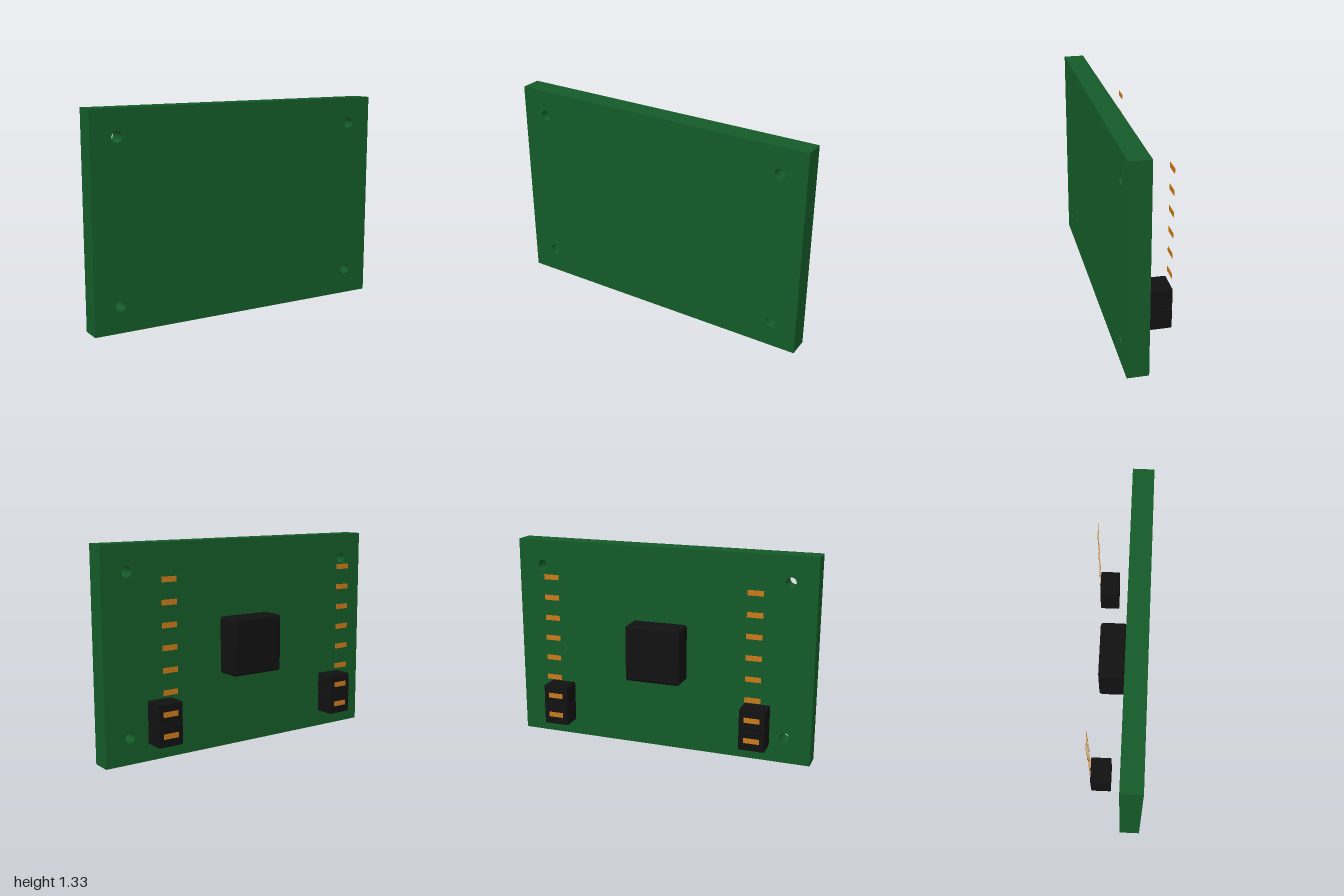
import * as THREE from 'three';
import { RoundedBoxGeometry } from 'three/addons/geometries/RoundedBoxGeometry.js';

const paint = (color) => new THREE.MeshStandardMaterial({ color });

function addMesh(parent, name, geometry, material, x, y, z) {
  const mesh = new THREE.Mesh(geometry, material);
  mesh.name = name;
  mesh.position.set(x, y, z);
  parent.add(mesh);
  return mesh;
}

export function createModel() {
  const group = new THREE.Group();
  group.name = 'circuitBoard';
  const green = paint(0x145a28);
  const black = paint(0x111111);
  const copper = paint(0xc87818);

  // Board with four mounting holes
  const width = 2, height = 1.333, thickness = 0.132;
  const outline = new THREE.Shape([
    new THREE.Vector2(-width / 2, 0),
    new THREE.Vector2(width / 2, 0),
    new THREE.Vector2(width / 2, height),
    new THREE.Vector2(-width / 2, height),
  ]);
  for (const x of [-0.833, 0.833]) {
    for (const y of [0.167, 1.167]) {
      outline.holes.push(new THREE.Path().absarc(x, y, 0.033, 0, Math.PI * 2, true));
    }
  }
  const boardGeometry = new THREE.ExtrudeGeometry(outline, {
    depth: thickness, bevelEnabled: false, curveSegments: 24,
  });
  addMesh(group, 'board', boardGeometry, green, 0, 0, 0.035);

  // Main chip on the back
  addMesh(group, 'chip', new RoundedBoxGeometry(0.366, 0.366, 0.166, 3, 0.02), black, 0, 0.667, -0.048);

  // Pin columns: eight contacts per side, the lowest two on connector blocks
  const blockGeometry = new RoundedBoxGeometry(0.167, 0.133, 0.132, 2, 0.007);
  const contactGeometry = new THREE.BoxGeometry(0.1, 0.033, 0.002);
  for (const [side, x] of [['left', 0.667], ['right', -0.667]]) {
    const column = new THREE.Group();
    column.name = side + 'PinColumn';
    group.add(column);
    for (let i = 0; i < 8; i++) {
      const y = 0.2 + i * 0.1333;
      addMesh(column, 'contact', contactGeometry, copper, x, y, -0.166);
      if (i < 2) addMesh(column, 'connectorBlock', blockGeometry, black, x, y, -0.099);
    }
  }
  return group;
}
